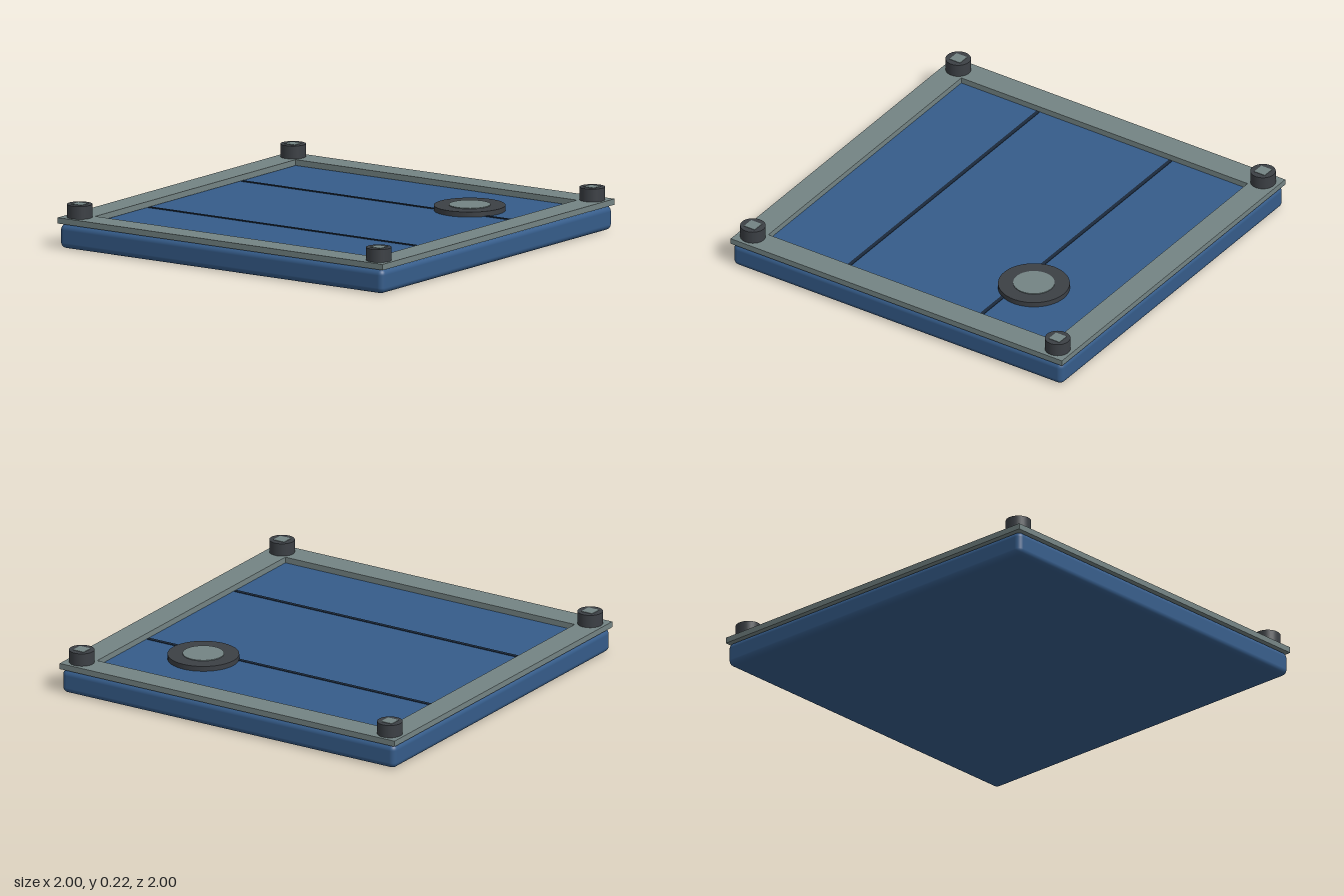
import * as THREE from 'three';
import { RoundedBoxGeometry } from 'three/addons/geometries/RoundedBoxGeometry.js';

export function createModel() {
  const model = new THREE.Group();
  model.name = 'framedPanel';

  const material = (name, color) => {
    const m = new THREE.MeshStandardMaterial({ color });
    m.name = name;
    return m;
  };
  const blue = material('blue', 0x355c8a);
  const grey = material('grey', 0x748484);
  const dark = material('charcoal', 0x3c4045);
  const navy = material('navy', 0x1c2a3c);

  const add = (parent, name, geometry, mat, x, y, z) => {
    const mesh = new THREE.Mesh(geometry, mat);
    mesh.name = name;
    mesh.position.set(x, y, z);
    parent.add(mesh);
    return mesh;
  };

  // Rounded slab
  const slabTop = 0.124;
  add(model, 'slab', new RoundedBoxGeometry(1.99, slabTop, 1.99, 4, 0.03), blue, 0, slabTop / 2, 0);

  // Flat square frame with an open middle
  const square = (Type, h) => new Type([
    new THREE.Vector2(-h, -h), new THREE.Vector2(h, -h),
    new THREE.Vector2(h, h), new THREE.Vector2(-h, h),
  ]);
  const frameShape = square(THREE.Shape, 1);
  frameShape.holes.push(square(THREE.Path, 0.864));
  const frameGeometry = new THREE.ExtrudeGeometry(frameShape, { depth: 0.03, bevelEnabled: false });
  frameGeometry.rotateX(-Math.PI / 2);
  add(model, 'frame', frameGeometry, grey, 0, 0.126, 0);

  // Two dark seams across the panel
  for (const x of [-0.4, 0.4]) {
    add(model, 'seam', new THREE.BoxGeometry(0.02, 0.006, 1.726), navy, x, slabTop, 0);
  }

  // Round port: dark disc with a pale centre
  const port = new THREE.Group();
  port.name = 'port';
  port.position.set(0.48, slabTop, 0.48);
  add(port, 'portRing', new THREE.CylinderGeometry(0.18, 0.18, 0.026, 48), dark, 0, 0.013, 0);
  add(port, 'portCentre', new THREE.CylinderGeometry(0.104, 0.104, 0.006, 48), grey, 0, 0.027, 0);
  model.add(port);

  // Corner bolts with square inlays
  for (const x of [-0.92, 0.92]) {
    for (const z of [-0.92, 0.92]) {
      const bolt = new THREE.Group();
      bolt.name = 'cornerBolt';
      bolt.position.set(x, 0.154, z);
      add(bolt, 'boltHead', new THREE.CylinderGeometry(0.064, 0.064, 0.068, 32), dark, 0, 0.034, 0);
      add(bolt, 'boltInlay', new THREE.BoxGeometry(0.064, 0.005, 0.064), grey, 0, 0.068, 0);
      model.add(bolt);
    }
  }
  return model;
}
